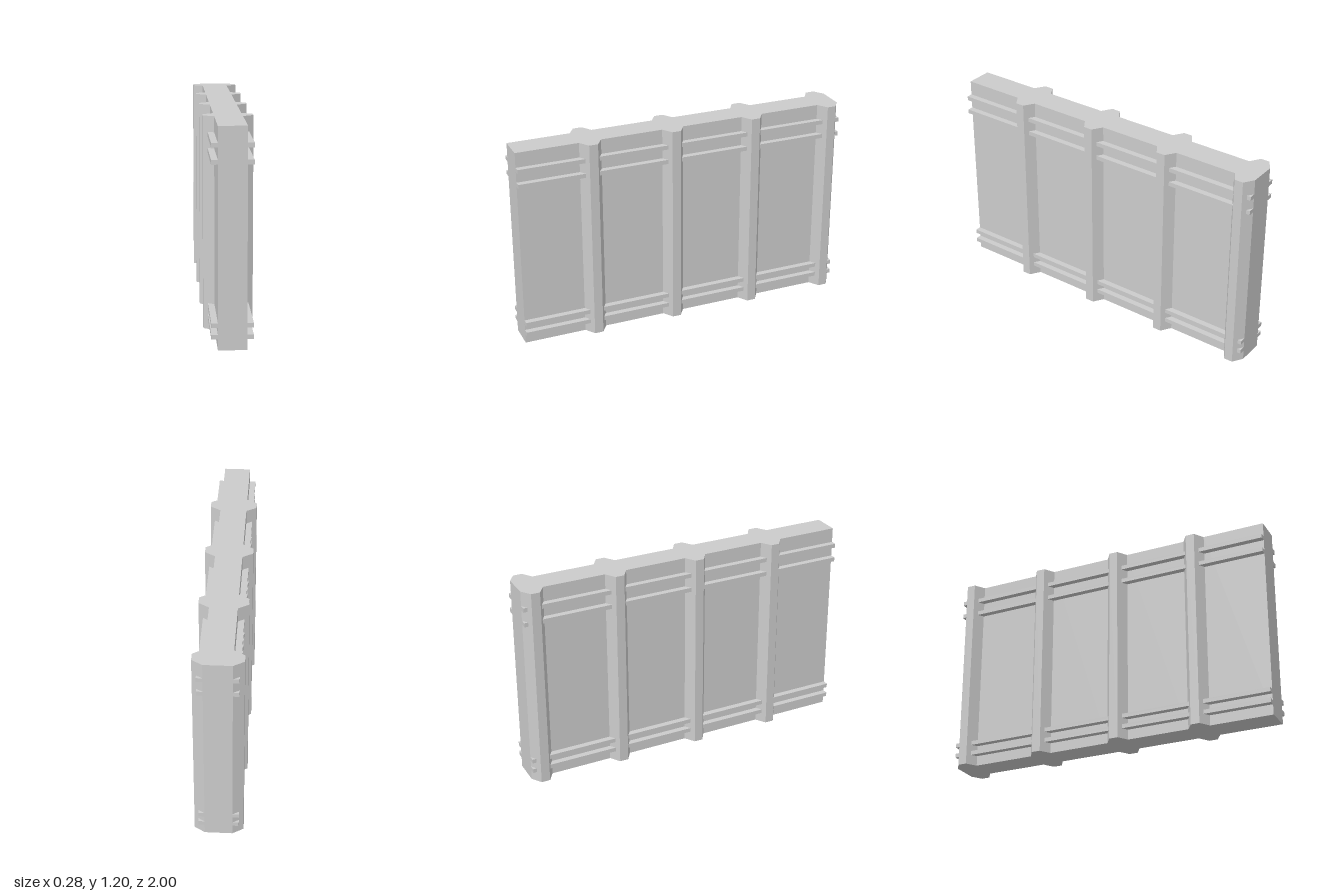
import * as THREE from 'three';

const HEIGHT = 1.2;
const CORE = 0.078;      // half thickness of the wall panel
const POST = 0.138;      // half thickness at the posts
const RAIL = 0.113;      // half thickness at the rails
const POST_Z = [0.565, 0.065, -0.435, -0.935];

export function createModel() {
  const group = new THREE.Group();
  const material = new THREE.MeshStandardMaterial({ color: 0xcccccc, flatShading: true });

  // Wall plan, with a chamfered post bulging from both faces at each station
  const side = [[CORE, 1]];
  for (const z of POST_Z) {
    side.push([CORE, z + 0.065], [POST, z + 0.026], [POST, z - 0.026], [CORE, z - 0.065]);
  }
  const mirrored = side.map(([x, z]) => [-x, z]).reverse();
  // Plan is drawn with y = -z, then laid flat so the extrusion rises along y
  const plan = new THREE.Shape([...side, ...mirrored].map(([x, z]) => new THREE.Vector2(x, -z)));
  const wallGeometry = new THREE.ExtrudeGeometry(plan, { depth: HEIGHT, bevelEnabled: false });
  wallGeometry.rotateX(-Math.PI / 2);
  const wall = new THREE.Mesh(wallGeometry, material);
  wall.name = 'wallWithPosts';
  group.add(wall);

  // Paired rails near top and bottom, running through the posts on both faces
  const railGeometry = new THREE.BoxGeometry(RAIL - CORE + 0.02, 0.025, 2);
  const rails = new THREE.Group();
  rails.name = 'rails';
  for (const s of [-1, 1]) {
    for (const y of [0.073, 0.137, 1.011, 1.1]) {
      const rail = new THREE.Mesh(railGeometry, material);
      rail.name = 'rail';
      rail.position.set(s * (RAIL + CORE - 0.02) / 2, y, 0);
      rails.add(rail);
    }
  }
  group.add(rails);
  return group;
}
